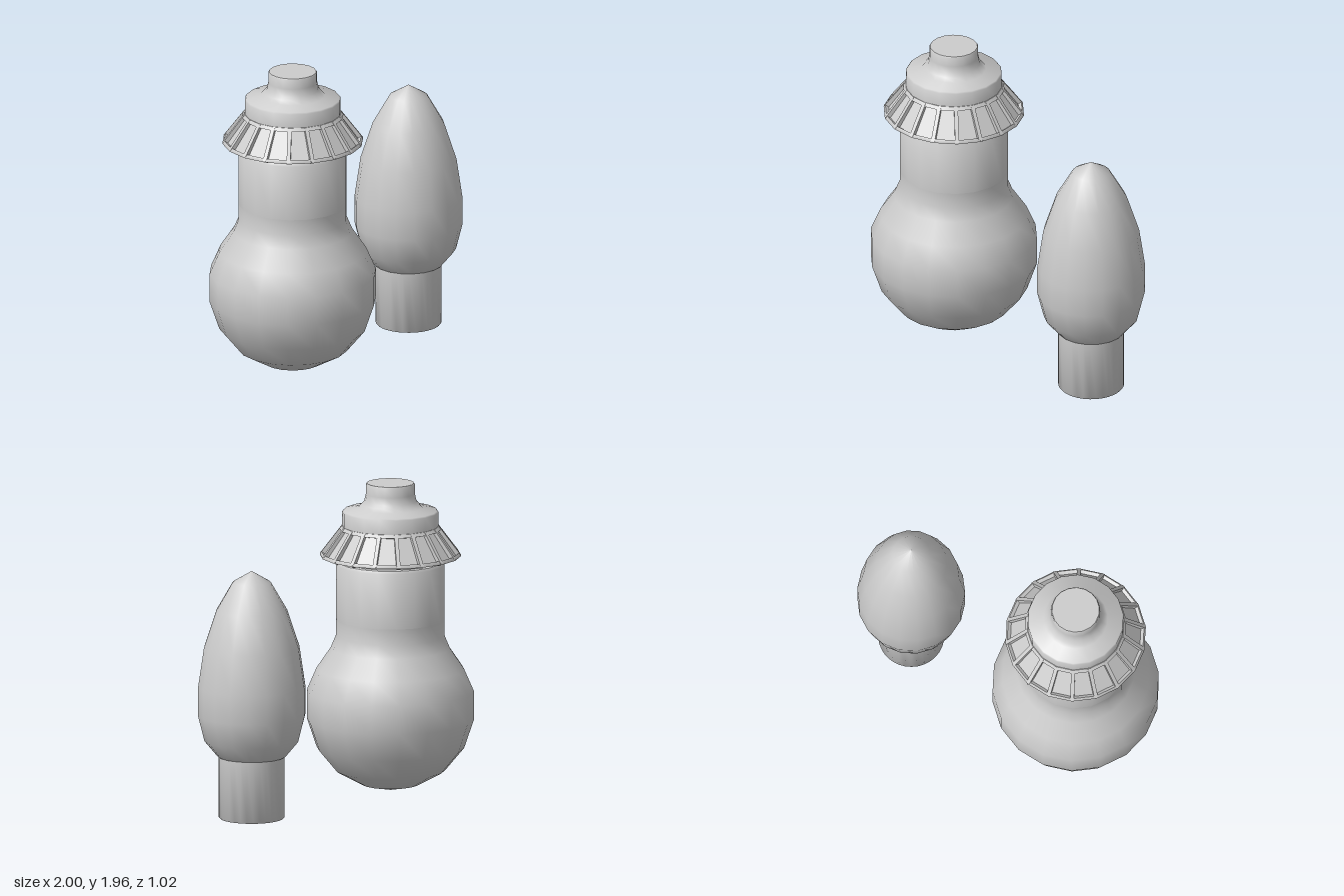
import * as THREE from 'three';
import { toCreasedNormals } from 'three/addons/utils/BufferGeometryUtils.js';

const SIDES = 18;
const material = new THREE.MeshStandardMaterial({ color: 0xcccccc });

// Turned part from [radius, height] points, listed bottom to top
function turned(name, profile, { sides = SIDES, start = 0, crease = 0.75 } = {}) {
  const points = profile.map(([r, y]) => new THREE.Vector2(r, y));
  const geometry = new THREE.LatheGeometry(points, sides, start, Math.PI * 2);
  const mesh = new THREE.Mesh(toCreasedNormals(geometry, crease), material);
  mesh.name = name;
  return mesh;
}

// Slatted collar: recessed panels framed by rims and sloping ribs
function createCollar(start) {
  const collar = new THREE.Group();
  collar.name = 'ribbedCollar';
  const low = new THREE.Vector2(0.438, 1.512);
  const high = new THREE.Vector2(0.302, 1.692);
  const slope = new THREE.Vector2().subVectors(high, low);
  const length = slope.length();
  const tilt = Math.atan2(-slope.x, slope.y);

  collar.add(
    turned('collarPanels', [[0.29, 1.482], [0.41, 1.508], [0.285, 1.685]], { start, crease: 0.1 }),
    turned('collarLowerRim', [[0.29, 1.48], [0.438, 1.503], [0.438, 1.512], [0.428, 1.525], [0.4, 1.505]], { start }),
    turned('collarUpperRim', [[0.29, 1.665], [0.317, 1.672], [0.302, 1.692], [0.28, 1.695]], { start }),
  );

  const ribGeometry = new THREE.BoxGeometry(0.024, length, 0.03);
  ribGeometry.translate(0, 0, -0.015);
  for (let i = 0; i < SIDES; i++) {
    const pivot = new THREE.Group();
    pivot.name = 'collarRib';
    pivot.rotation.y = start + (i / SIDES) * Math.PI * 2;
    const rib = new THREE.Mesh(ribGeometry, material);
    rib.name = 'rib';
    rib.position.set(0, (low.y + high.y) / 2, (low.x + high.x) / 2);
    rib.rotation.x = -tilt;
    pivot.add(rib);
    collar.add(pivot);
  }
  return collar;
}

// Round bulb, hanging glass down with its cap on top
function createRoundBulb() {
  const bulb = new THREE.Group();
  bulb.name = 'roundBulb';
  const start = Math.PI / 2;
  bulb.add(
    turned('glass', [
      [0, 0.02], [0.18, 0.06], [0.342, 0.15], [0.458, 0.29], [0.519, 0.47], [0.519, 0.65],
      [0.458, 0.79], [0.37, 0.92], [0.337, 1.0], [0.337, 1.1],
    ], { start }),
    turned('neck', [
      [0.337, 1.1], [0.337, 1.45], [0.325, 1.466], [0.302, 1.47], [0.302, 1.5],
    ], { start }),
    createCollar(start),
    turned('cap', [
      [0.299, 1.67], [0.299, 1.78], [0.292, 1.789], [0.2, 1.807], [0.18, 1.83], [0.163, 1.848],
      [0.152, 1.895], [0.152, 1.955], [0.147, 1.962], [0, 1.962],
    ], { start }),
  );
  return bulb;
}

// Pointed bulb, standing on its base
function createPointedBulb() {
  const bulb = new THREE.Group();
  bulb.name = 'pointedBulb';
  bulb.add(
    turned('glass', [
      [0, 0.36], [0.212, 0.39], [0.295, 0.49], [0.335, 0.65], [0.335, 0.83],
      [0.298, 1.08], [0.222, 1.31], [0.118, 1.49], [0, 1.56],
    ]),
    turned('base', [
      [0, 0], [0.199, 0], [0.205, 0.007], [0.205, 0.4], [0, 0.4],
    ], { sides: 32 }),
  );
  return bulb;
}

export function createModel() {
  const model = new THREE.Group();
  model.name = 'lightBulbPair';
  const round = createRoundBulb();
  round.position.set(-0.481, 0, 0);
  const pointed = createPointedBulb();
  pointed.position.set(0.668, 0, -0.1);
  model.add(round, pointed);
  return model;
}
